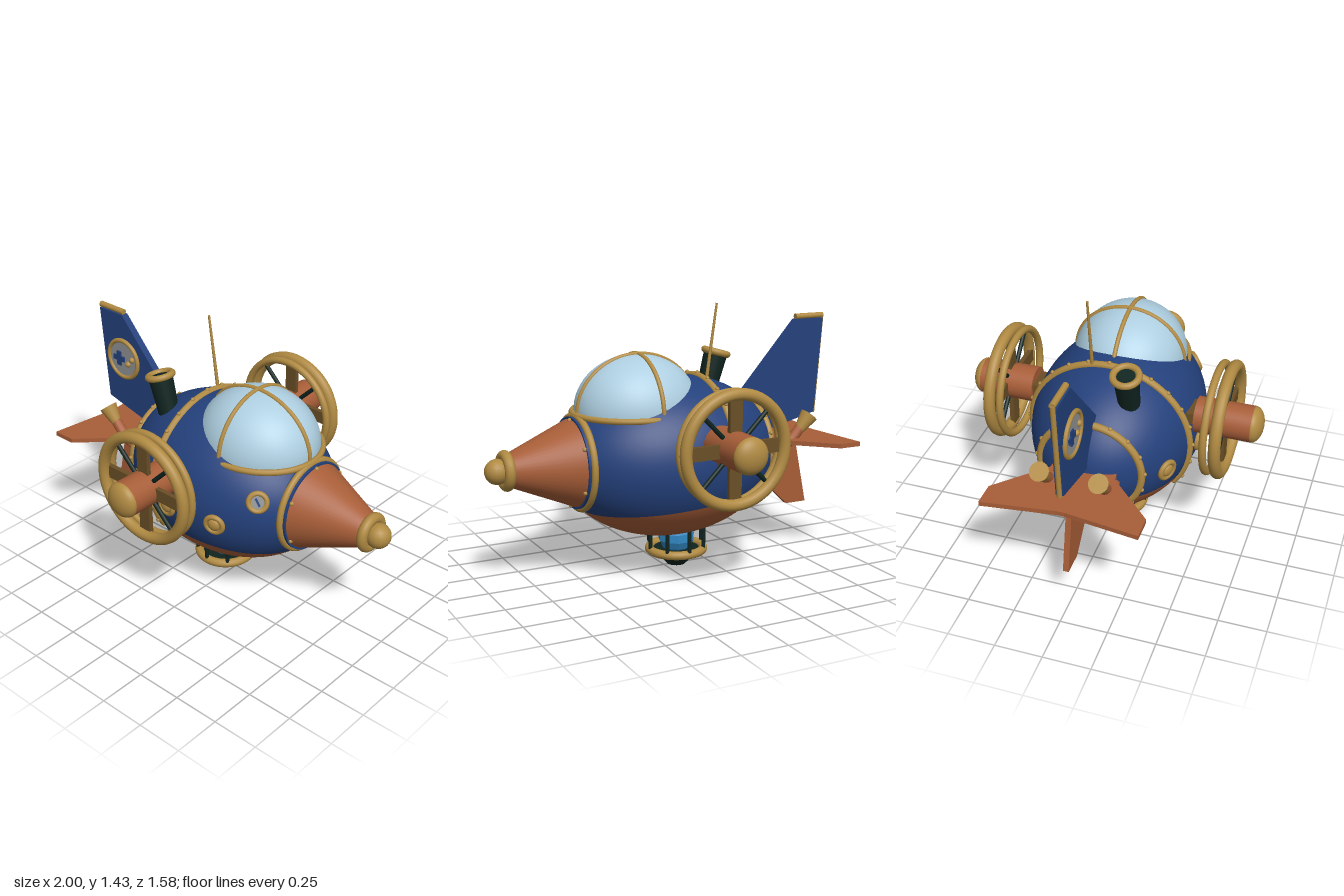
import * as THREE from 'three';

const mat = (name, color, extra = {}) => Object.assign(new THREE.MeshStandardMaterial({ color, ...extra }), { name });

export function createModel() {
  const root = new THREE.Group();
  root.name = 'submarine';
  const navy = mat('navy', 0x24417c), copper = mat('copper', 0xa85e38), gold = mat('gold', 0xb08a42);
  const brown = mat('brown', 0x6a4f26), dark = mat('darkGreen', 0x10241f), glass = mat('paleGlass', 0xaecfe1);
  const grey = mat('grey', 0x8f9294), blue = mat('lampBlue', 0x3288c4, { flatShading: true });
  const V = (x, y, z) => new THREE.Vector3(x, y, z);
  const UP = V(0, 1, 0), FRONT = V(0, 0, 1);

  const add = (name, geo, m, x = 0, y = 0, z = 0, parent = root) => {
    const mesh = new THREE.Mesh(geo, m);
    mesh.name = name;
    mesh.position.set(x, y, z);
    parent.add(mesh);
    return mesh;
  };
  // cylinder or cone running from a to b
  const rod = (name, a, b, r0, r1, m, parent = root, sides = 20) => {
    const d = b.clone().sub(a);
    const mesh = add(name, new THREE.CylinderGeometry(r1, r0, d.length(), sides), m, 0, 0, 0, parent);
    mesh.position.copy(a).add(b).multiplyScalar(0.5);
    mesh.quaternion.setFromUnitVectors(UP, d.normalize());
    return mesh;
  };
  const ball = (name, r, m, p, parent = root) => add(name, new THREE.SphereGeometry(r, 16, 12), m, p.x, p.y, p.z, parent);
  // tube along a parametric arc
  const arc = (name, f, t0, t1, r, m, closed = false) => {
    const pts = [];
    for (let i = 0; i < 32; i++) pts.push(f(t0 + (t1 - t0) * i / (closed ? 32 : 31)));
    const mesh = add(name, new THREE.TubeGeometry(new THREE.CatmullRomCurve3(pts, closed), 80, r, 10, closed), m);
    if (!closed) [t0, t1].forEach(t => ball(name + 'End', r, m, f(t)));
    return mesh;
  };
  // flat plate from an outline, centred on its thickness
  const plate = (pts, depth) => new THREE.ExtrudeGeometry(
    new THREE.Shape(pts.map(p => new THREE.Vector2(...p))), { depth, bevelEnabled: false }).translate(0, 0, -depth / 2);

  // hull and belly: one ellipsoid split along a slightly tilted plane
  const C = V(-0.02, 0.62, 0), R = V(0.61, 0.43, 0.45), split = 2.05;
  [['hull', 0, split, navy], ['belly', split, Math.PI - split, copper]].forEach(([name, t, len, m]) =>
    add(name, new THREE.SphereGeometry(1, 64, 32, 0, Math.PI * 2, t, len).rotateZ(-0.134).scale(R.x, R.y, R.z), m, C.x, C.y, C.z));

  // riveted hull bands
  [[-0.2, -0.6, 17], [-0.51, -0.88, 13]].forEach(([x, t0, n]) => {
    const k = Math.sqrt(1 - ((x - C.x) / R.x) ** 2);
    const f = (t, e = 0) => V(x, C.y + (R.y * k + e) * Math.sin(t), (R.z * k + e) * Math.cos(t));
    arc('hullBand', t => f(t), t0, Math.PI - t0, 0.02, gold);
    for (let i = 0; i < n; i++) ball('bandRivet', 0.011, gold, f(t0 + (Math.PI - 2 * t0) * (i + 0.5) / n, 0.018));
  });

  // nose
  const ny = 0.633;
  rod('noseCollar', V(0.46, ny, 0), V(0.535, ny, 0), 0.24, 0.24, navy, root, 48);
  rod('noseCone', V(0.52, ny, 0), V(0.89, ny, 0), 0.235, 0.08, copper, root, 48);
  add('noseRing', new THREE.TorusGeometry(0.242, 0.018, 12, 56).rotateY(Math.PI / 2), gold, 0.505, ny, 0);
  for (let i = 0; i < 6; i++) {
    const a = Math.PI / 6 + i * Math.PI / 3;
    ball('noseRivet', 0.012, gold, V(0.54, ny + 0.225 * Math.sin(a), 0.225 * Math.cos(a)));
  }
  add('tipRing', new THREE.TorusGeometry(0.078, 0.028, 12, 40).rotateY(Math.PI / 2), gold, 0.89, ny, 0);
  rod('tipPlate', V(0.87, ny, 0), V(0.905, ny, 0), 0.078, 0.078, gold);
  ball('noseTip', 0.066, gold, V(0.934, ny, 0));

  // cockpit dome with rim and crossed ribs
  const D = V(0.16, 0.885, 0), dr = V(0.335, 0.288, 0.3);
  add('cockpitDome', new THREE.SphereGeometry(1, 48, 20, 0, Math.PI * 2, 0, Math.PI / 2).scale(dr.x, dr.y, dr.z), glass, D.x, D.y, D.z);
  arc('domeRim', t => V(D.x + 0.345 * Math.cos(t), D.y - 0.005, 0.307 * Math.sin(t)), 0, Math.PI * 2, 0.016, gold, true);
  arc('domeLongRib', t => V(D.x + dr.x * Math.cos(t), D.y + dr.y * Math.sin(t), 0), 0, Math.PI, 0.012, gold);
  arc('domeCrossRib', t => V(D.x - 0.01, D.y + dr.y * Math.sin(t), dr.z * Math.cos(t)), 0, Math.PI, 0.012, gold);

  // side propeller wheels
  [1, -1].forEach(s => {
    const g = new THREE.Group();
    g.name = s > 0 ? 'frontWheel' : 'backWheel';
    g.position.set(-0.095, 0.76, 0);
    root.add(g);
    add('outerRim', new THREE.TorusGeometry(0.28, 0.031, 14, 64), gold, 0, 0, s * 0.6, g);
    add('innerRim', new THREE.TorusGeometry(0.283, 0.02, 12, 64), gold, 0, 0, s * 0.54, g);
    rod('hub', V(0, 0, s * 0.44), V(0, 0, s * 0.735), 0.095, 0.095, copper, g, 32);
    add('hubCap', new THREE.SphereGeometry(0.095, 32, 16).scale(1, 1, 0.58), gold, 0, 0, s * 0.735, g);
    for (let i = 0; i < 4; i++) {
      const a = i * Math.PI / 2, b = a + Math.PI / 4;
      add('broadSpoke', new THREE.BoxGeometry(0.2, 0.07, 0.025).translate(0.18, 0, 0), brown, 0, 0, s * 0.585, g).rotation.z = a;
      rod('thinSpoke', V(0, 0, s * 0.585), V(0.28 * Math.cos(b), 0.28 * Math.sin(b), s * 0.585), 0.012, 0.012, dark, g, 10);
    }
    add('wheelBracket', new THREE.BoxGeometry(0.14, 0.06, 0.1), brown, 0, 0.01, s * 0.405, g).rotation.y = 0.1;
    rod('wheelStrut', V(0, -0.12, s * 0.4), V(0, -0.06, s * 0.5), 0.02, 0.02, copper, g);
  });

  // smokestack and antenna
  const s0 = V(-0.325, 0.87, 0.15), s1 = V(-0.398, 1.125, 0.15);
  rod('smokestack', s0, s1, 0.053, 0.066, dark);
  const lip = add('stackLip', new THREE.TorusGeometry(0.065, 0.018, 12, 36), gold, s1.x, s1.y, s1.z);
  lip.quaternion.setFromUnitVectors(FRONT, s1.clone().sub(s0).normalize());
  rod('antenna', V(-0.2, 0.98, -0.09), V(-0.265, 1.425, -0.09), 0.01, 0.006, gold, root, 10);
  ball('antennaBase', 0.018, gold, V(-0.2, 1.02, -0.09));

  // tail fin with gold edging
  add('tailFin', plate([[-0.985, 1.3], [-0.94, 0.77], [-0.58, 0.68], [-0.4, 0.75], [-0.43, 0.87], [-0.81, 1.3]], 0.04), navy);
  rod('finTopTrim', V(-0.993, 1.313, 0), V(-0.815, 1.313, 0), 0.016, 0.016, gold);
  rod('finRearTrim', V(-0.986, 1.313, 0), V(-0.943, 0.765, 0), 0.013, 0.013, gold);

  // round panel on the fin
  const px = -0.81, py = 1.04;
  add('panelDisc', new THREE.CylinderGeometry(0.108, 0.108, 0.009, 40).rotateX(Math.PI / 2), grey, px, py, 0.0235);
  add('panelRing', new THREE.TorusGeometry(0.11, 0.013, 10, 44), gold, px, py, 0.025);
  [[0.085, 0.03], [0.03, 0.085]].forEach(([w, h]) => add('panelCross', new THREE.BoxGeometry(w, h, 0.009), navy, px - 0.028, py, 0.031));
  [[0.04, -0.02], [0.072, 0.015]].forEach(([x, y]) => ball('panelStud', 0.017, gold, V(px + x, py + y, 0.028)));

  // tailplane and lower fin
  const half = [[-0.94, 0.02], [-0.99, 0.4], [-0.865, 0.4], [-0.63, 0.17], [-0.5, 0.15]];
  const outline = [...half, ...half.map(([x, z]) => [x, -z]).reverse()];
  add('tailplane', plate(outline, 0.024).rotateX(Math.PI / 2), copper, 0, 0.655, 0);
  add('lowerFin', plate([[-0.83, 0.592], [-0.9, 0.25], [-0.775, 0.25], [-0.56, 0.46], [-0.5, 0.52], [-0.58, 0.54]], 0.03), copper);

  // curved exhaust pipes with flared ends
  [0.15, -0.15].forEach(z => {
    const path = new THREE.CatmullRomCurve3([V(-0.5, 0.6, z), V(-0.6, 0.61, z), V(-0.69, 0.645, z), V(-0.775, 0.73, z)]);
    add('exhaustPipe', new THREE.TubeGeometry(path, 24, 0.029, 14), copper);
    rod('exhaustFlare', V(-0.755, 0.705, z), V(-0.822, 0.785, z), 0.027, 0.05, gold);
  });

  // portholes on the front side, facing along the hull normal
  [[-0.38, 0.59, 0], [-0.08, 0.59, 0], [0.22, 0.59, 0], [0.405, 0.745, 1]].forEach(([x, y, gauge]) => {
    const u = (x - C.x) / R.x, v = (y - C.y) / R.y, w = Math.sqrt(1 - u * u - v * v);
    const g = new THREE.Group();
    g.name = gauge ? 'gauge' : 'porthole';
    g.position.set(x, y, w * R.z);
    g.quaternion.setFromUnitVectors(FRONT, V(u / R.x, v / R.y, w / R.z).normalize());
    root.add(g);
    add('rim', new THREE.TorusGeometry(0.046, 0.014, 10, 32), gold, 0, 0, 0.004, g);
    if (gauge) {
      add('gaugeFace', new THREE.CylinderGeometry(0.044, 0.044, 0.009, 28).rotateX(Math.PI / 2), grey, 0, 0, 0.005, g);
      add('gaugeNeedle', new THREE.BoxGeometry(0.01, 0.045, 0.006), navy, 0, 0, 0.011, g).rotation.z = 0.6;
    } else add('portholeBoss', new THREE.SphereGeometry(0.036, 20, 12).scale(1, 1, 0.6), gold, 0, 0, 0.004, g);
  });

  // lamp cage under the belly
  const lx = -0.075;
  add('lamp', new THREE.SphereGeometry(0.1, 10, 7), blue, lx, 0.16, 0);
  add('cageRing', new THREE.TorusGeometry(0.147, 0.024, 12, 48).rotateX(Math.PI / 2), gold, lx, 0.087, 0);
  rod('lampBase', V(lx, 0, 0), V(lx, 0.09, 0), 0.05, 0.135, dark, root, 16);
  for (let i = 0; i < 8; i++) {
    const a = i * Math.PI / 4, x = lx + 0.155 * Math.cos(a), z = 0.155 * Math.sin(a);
    rod('cagePost', V(x, 0.09, z), V(x, 0.225, z), 0.011, 0.011, dark, root, 10);
  }
  return root;
}
